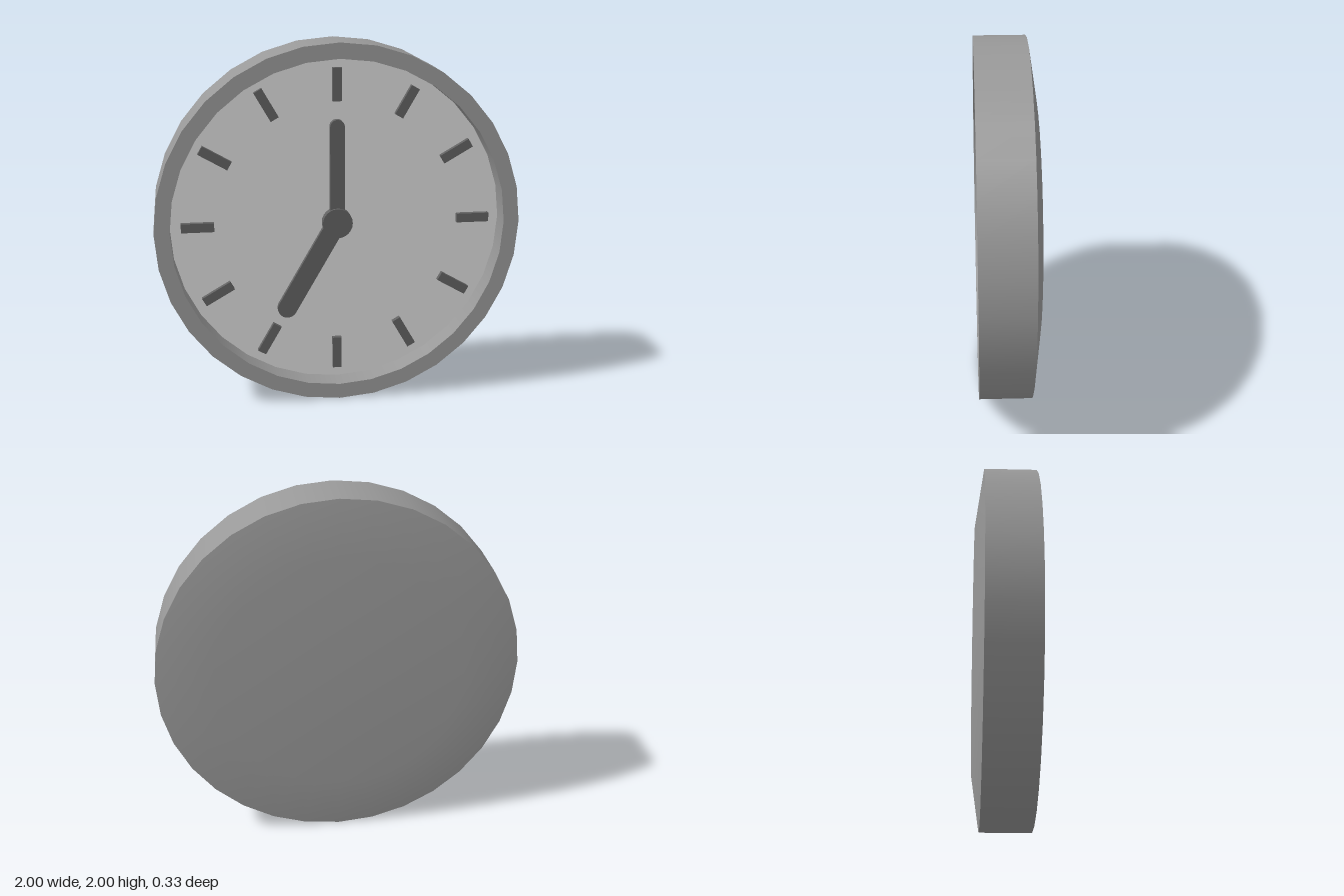
import * as THREE from 'three';

const SIDES = 32;
const FACE_Z = 0.035; // surface of the recessed dial

function material(name, color) {
  const m = new THREE.MeshStandardMaterial({ color });
  m.name = name;
  return m;
}

export function createModel() {
  const caseGrey = material('case grey', 0x999999);
  const dialGrey = material('dial light grey', 0xdadada);
  const darkGrey = material('dark grey', 0x626262);

  const clock = new THREE.Group();
  clock.name = 'wallClock';
  const add = (name, geometry, mat, parent = clock) => {
    const mesh = new THREE.Mesh(geometry, mat);
    mesh.name = name;
    parent.add(mesh);
    return mesh;
  };

  // Revolved surface around the z axis from [radius, z] pairs
  const revolve = (points) =>
    new THREE.LatheGeometry(points.map(([r, z]) => new THREE.Vector2(r, z)), SIDES).rotateX(Math.PI / 2);

  // Case: separate surfaces keep the edges between them crisp
  const body = new THREE.Group();
  body.name = 'case';
  clock.add(body);
  add('caseBack', revolve([[0, -0.165], [0.69, -0.165], [1, -0.12]]), caseGrey, body);
  add('caseSide', revolve([[1, -0.12], [1, 0.165]]), caseGrey, body);
  add('rimFront', revolve([[1, 0.165], [0.915, 0.165]]), caseGrey, body);
  add('rimInside', revolve([[0.915, 0.165], [0.915, FACE_Z]]), caseGrey, body);

  // Dial
  add('dial', revolve([[0.915, FACE_Z], [0, FACE_Z]]), dialGrey);

  // Hour markers
  const markers = new THREE.Group();
  markers.name = 'hourMarkers';
  clock.add(markers);
  for (let i = 0; i < 12; i++) {
    const marker = new THREE.BoxGeometry(0.05, 0.18, 0.03);
    marker.translate(0, 0.765, FACE_Z + 0.015).rotateZ((-i * Math.PI) / 6);
    add('hourMarker', marker, darkGrey, markers);
  }

  // Hand: a bar with a rounded tip, pointing up before it is turned
  const hand = (name, halfWidth, length, depth, angle) => {
    const shape = new THREE.Shape();
    shape.moveTo(-halfWidth, 0);
    shape.lineTo(halfWidth, 0);
    shape.lineTo(halfWidth, length - halfWidth);
    shape.absarc(0, length - halfWidth, halfWidth, 0, Math.PI, false);
    const geometry = new THREE.ExtrudeGeometry(shape, { depth, bevelEnabled: false, curveSegments: 8 });
    add(name, geometry.translate(0, 0, FACE_Z).rotateZ(angle), darkGrey);
  };
  hand('minuteHand', 0.04, 0.575, 0.035, 0);
  hand('hourHand', 0.054, 0.615, 0.03, (5 * Math.PI) / 6);

  // Hub
  const hub = new THREE.CylinderGeometry(0.083, 0.083, 0.05, 24).rotateX(Math.PI / 2);
  add('hub', hub.translate(0, 0, FACE_Z + 0.025), darkGrey);

  // Stand on the ground
  clock.children.forEach((part) => { part.position.y = 1; });
  return clock;
}
